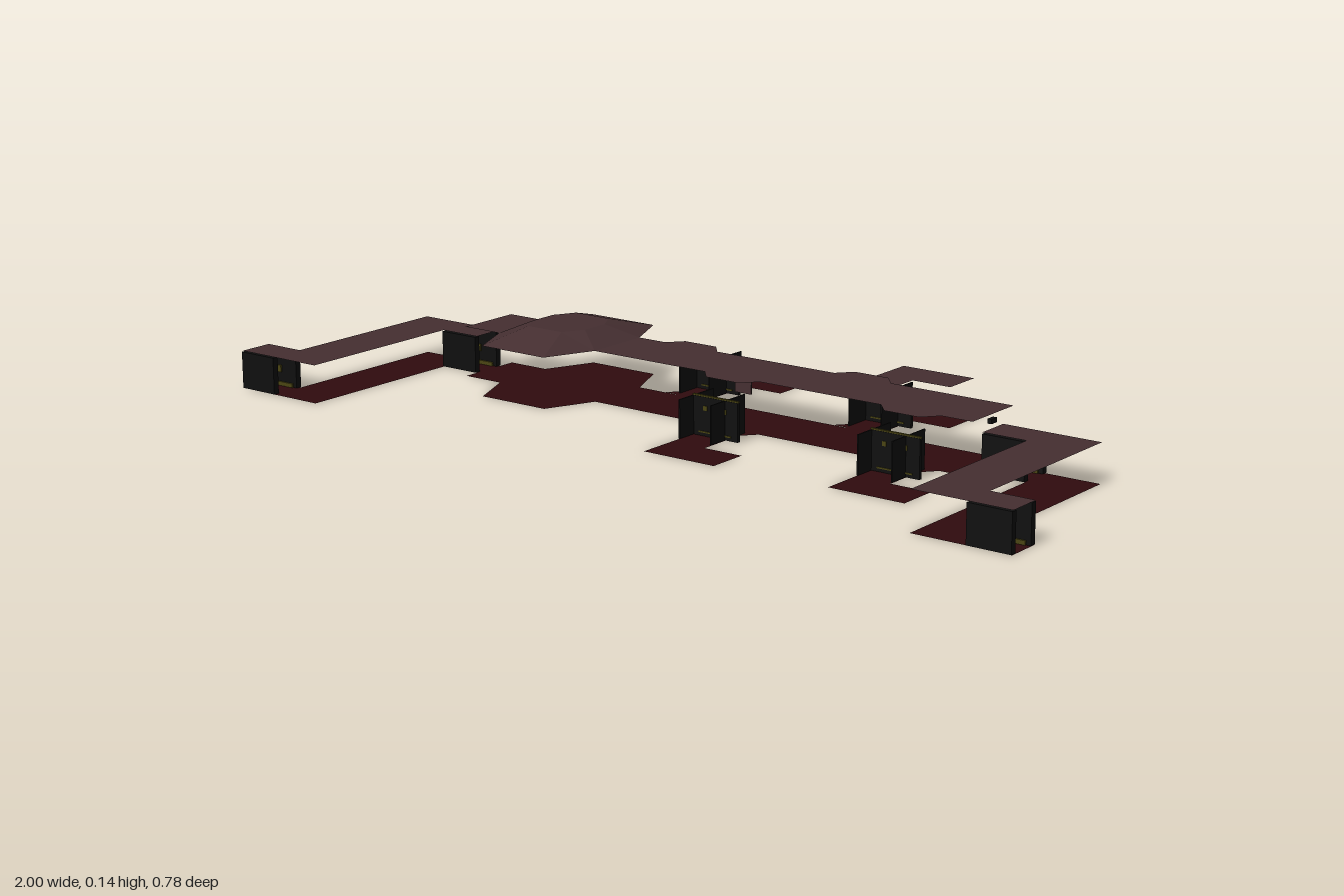
import * as THREE from 'three';

const mat = (name, color, extra = {}) => {
  const m = new THREE.MeshStandardMaterial({ color, ...extra });
  m.name = name;
  return m;
};

export function createModel() {
  const root = new THREE.Group();
  root.name = 'corridorComplex';
  const brown = mat('ceilingBrown', 0x452f31, { side: THREE.DoubleSide, flatShading: true });
  const red = mat('floorRed', 0x300b0e, { side: THREE.DoubleSide });
  const black = mat('doorBlack', 0x0f0f0f);
  const olive = mat('trimOlive', 0x4a4412);

  const add = (geo, material, name, parent = root) => {
    const m = new THREE.Mesh(geo, material);
    m.name = name;
    parent.add(m);
    return m;
  };
  // Horizontal sheet from an outline of [x, z] points
  const sheet = (pts, y, material, name) => {
    const geo = new THREE.ShapeGeometry(new THREE.Shape(pts.map(p => new THREE.Vector2(p[0], p[1]))));
    geo.rotateX(Math.PI / 2).translate(0, y, 0);
    return add(geo, material, name);
  };
  const rect = (x0, x1, z0, z1) => [[x0, z0], [x1, z0], [x1, z1], [x0, z1]];
  // Box from its limits
  const box = (x0, x1, y0, y1, z0, z1, material, name, parent) =>
    add(new THREE.BoxGeometry(x1 - x0, y1 - y0, z1 - z0)
      .translate((x0 + x1) / 2, (y0 + y1) / 2, (z0 + z1) / 2), material, name, parent);

  const LOW = 0.086, HIGH = 0.115, ZB = -0.152, ZF = 0.005, ZC = (ZB + ZF) / 2;

  // Main corridor
  sheet(rect(-0.677, 0.673, ZB, ZF), 0, red, 'mainFloor');
  sheet(rect(-0.677, -0.575, ZB, ZF), HIGH, brown, 'mainCeilingEnd');
  sheet(rect(-0.298, 0.673, ZB, ZF), HIGH, brown, 'mainCeiling');

  // Eight-sided room with a sloping roof
  const XC = -0.437;
  const octagon = (hx, cx, hz, cz) => [
    [XC - hx, ZC - cz], [XC - cx, ZC - hz], [XC + cx, ZC - hz], [XC + hx, ZC - cz],
    [XC + hx, ZC + cz], [XC + cx, ZC + hz], [XC - cx, ZC + hz], [XC - hx, ZC + cz]];
  const base = octagon(0.139, 0.089, 0.193, 0.0785);
  const top = octagon(0.075, 0.048, 0.083, 0.034);
  sheet([base[7], base[0], base[1], base[2], base[3], [base[3][0], ZB], [base[0][0], ZB]].slice(1, 5), 0, red, 'roomFloorBack');
  sheet(base.slice(4), 0, red, 'roomFloorFront');
  const pos = [];
  for (let i = 0; i < 8; i++) {
    const j = (i + 1) % 8;
    const a = [base[i][0], HIGH, base[i][1]], b = [base[j][0], HIGH, base[j][1]];
    const c = [top[j][0], 0.145, top[j][1]], d = [top[i][0], 0.145, top[i][1]];
    pos.push(...a, ...d, ...c, ...a, ...c, ...b);
  }
  const slopes = new THREE.BufferGeometry();
  slopes.setAttribute('position', new THREE.Float32BufferAttribute(pos, 3));
  slopes.computeVertexNormals();
  add(slopes, brown, 'roomRoofSlopes');
  sheet(top, 0.145, brown, 'roomRoofTop');

  // Bent end corridors with open doorways
  for (const s of [-1, 1]) {
    const side = s < 0 ? 'right' : 'left';
    const outline = [[0.675, -0.11], [0.902, -0.11], [0.902, 0.308], [1, 0.308], [1, 0.388],
      [0.777, 0.388], [0.777, -0.03], [0.675, -0.03]].map(([x, z]) => [s * x, z]);
    sheet(outline, 0, red, side + 'WingFloor');
    sheet(outline, LOW, brown, side + 'WingCeiling');
    for (const [xa, xb, za, zb] of [[0.677, 0.777, -0.112, -0.026], [0.902, 1, 0.308, 0.391]]) {
      const doorway = new THREE.Group();
      doorway.name = side + 'Doorway';
      root.add(doorway);
      const [x0, x1] = s < 0 ? [-xb, -xa] : [xa, xb];
      for (const [z0, z1, inner] of [[za, za + 0.014, za + 0.014], [zb - 0.014, zb, zb - 0.018]]) {
        box(x0, x1, 0.001, 0.084, z0, z1, black, 'doorwayWall', doorway);
        box(x0 + 0.01, x1 - 0.01, 0.001, 0.01, inner, inner + 0.004, olive, 'baseTrim', doorway);
        box((x0 + x1) / 2 - 0.005, (x0 + x1) / 2 + 0.005, 0.032, 0.048, inner, inner + 0.004, olive, 'doorSwitch', doorway);
      }
    }
    box(s * 0.674 - 0.005, s * 0.674 + 0.005, 0.097, 0.107, -0.079, -0.058, black, side + 'CorridorLamp');
  }

  // Side passages: start x, direction, far z, foot depth, roofed
  for (const [x0, dir, far, foot, roofed] of [
    [-0.195, -1, 0.24, 0.093, false], [0.26, -1, 0.224, 0.095, true],
    [0.035, 1, 0.247, 0.095, false], [0.485, 1, 0.23, 0.095, false]]) {
    const wall = dir > 0 ? ZF : ZB;
    const z = d => wall + dir * d;
    const x1 = x0 + 0.085, x2 = x0 + 0.18;
    const bend = [[x0, z(0)], [x1, z(0)], [x1, z(far - foot)], [x2, z(far - foot)], [x2, z(far)], [x0, z(far)]];
    sheet(bend, 0, red, 'passageFloor');
    if (roofed) sheet(bend, LOW + 0.004, brown, 'passageCeiling');
    const flare = [[x0 - 0.03, z(0)], [x1 + 0.03, z(0)], [x1, z(0.035)], [x0, z(0.035)]];
    sheet(flare, HIGH, brown, 'flareCeiling');
    sheet(flare, 0.0005, red, 'flareFloor');

    // Closed door between two short walls
    const door = new THREE.Group();
    door.name = 'passageDoor';
    root.add(door);
    const zd = z(0.078), za = Math.min(z(0.012), z(0.13)), zb = Math.max(z(0.012), z(0.13));
    const xe = x0 + 0.118;
    box(x0, xe, 0.001, LOW, zd - 0.004, zd + 0.004, black, 'doorPanel', door);
    box(x0, x0 + 0.003, 0.001, LOW, za, zb, black, 'doorWall', door);
    box(x1 - 0.003, x1, 0.001, LOW, za, zb, black, 'doorWall', door);
    box(x0 - 0.001, xe + 0.001, LOW, LOW + 0.003, zd - 0.003, zd + 0.003, olive, 'doorTopTrim', door);
    const xm = (x0 + xe) / 2;
    for (const f of [-1, 1]) {
      const zf = zd + f * 0.005;
      const plate = (x, y, w, h, name) =>
        box(x - w / 2, x + w / 2, y - h / 2, y + h / 2, zf - 0.001, zf + 0.001, olive, name, door);
      plate(xm, 0.01, 0.085, 0.003, 'doorLowerTrim');
      plate(xm, 0.04, 0.012, 0.01, 'doorHandle');
      for (const s of [-1, 1]) plate(xm + s * 0.025, 0.062, 0.01, 0.01, 'doorLight');
    }
  }

  // Wall panel on the back of the main corridor
  box(-0.028, 0.016, 0.034, 0.098, -0.15, -0.147, brown, 'wallPanel');

  return root;
}
